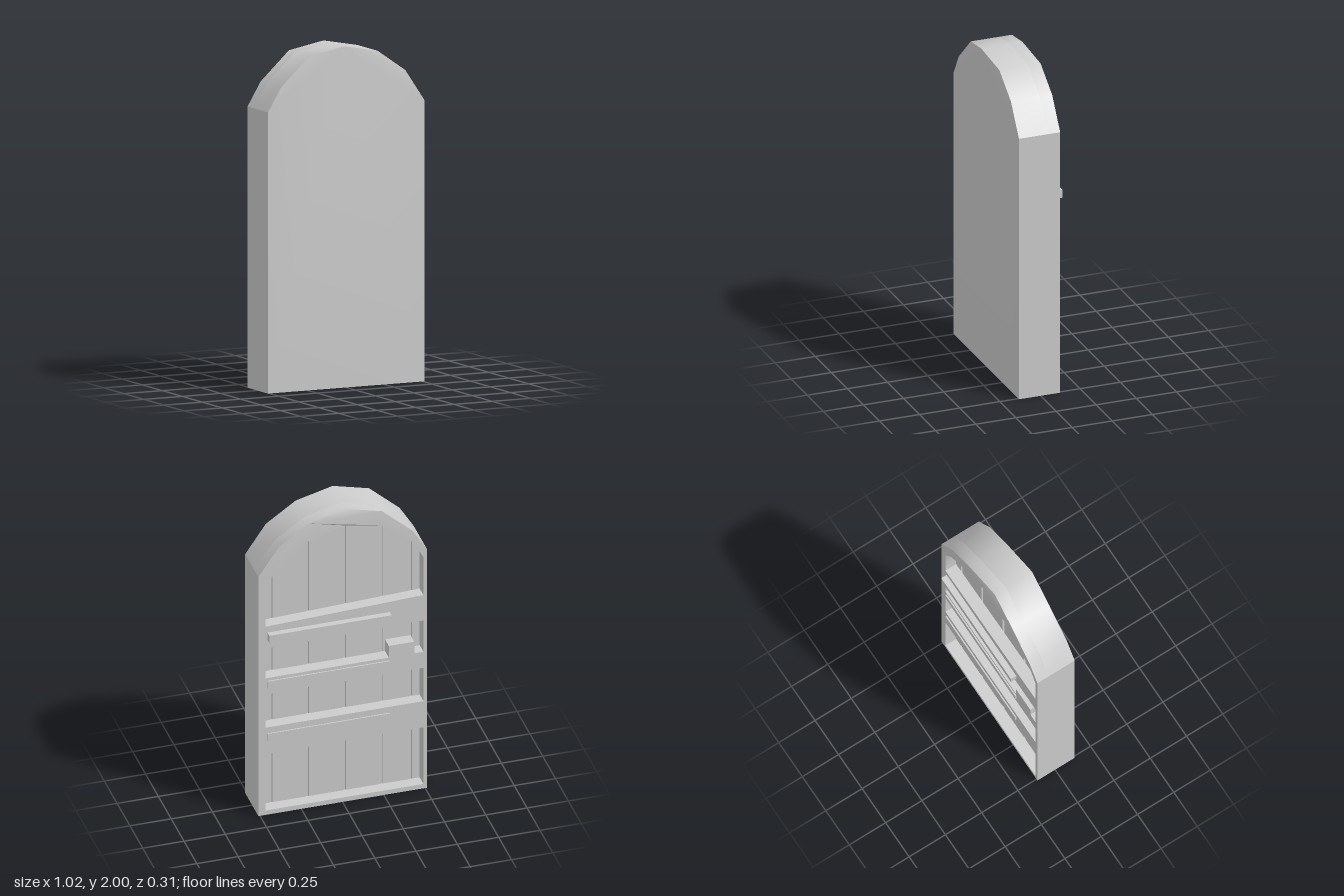
import * as THREE from 'three';
import { toCreasedNormals } from 'three/addons/utils/BufferGeometryUtils.js';

const BACK = -0.122, SEAM = -0.045, FRONT = 0.135, BULGE = 0.02, APEX_X = -0.025;

// Outer arched outline, counter-clockwise seen from the front
const OUTLINE = [
  [-0.51, 0], [0.51, 0], [0.51, 1.645], [0.385, 1.83], [0.205, 1.955],
  [APEX_X, 2], [-0.24, 1.955], [-0.425, 1.785], [-0.51, 1.645],
];
const APEX = 5;

// Openings between the rails; the second one steps around the latch block
const L = -0.49, R = 0.468;
const OPENINGS = [
  [[L, 1.33], [R, 1.295], [R, 1.555], [0.406, 1.67], [0.203, 1.835],
    [APEX_X, 1.886], [-0.23, 1.86], [-0.434, 1.7], [L, 1.59]],
  [[L, 0.94], [-0.434, 0.94], [-0.434, 1.02], [-0.28, 1.02], [-0.28, 0.94],
    [R, 0.94], [R, 1.143], [L, 1.155]],
  [[L, 0.6], [R, 0.6], [R, 0.83], [L, 0.83]],
  [[L, 0.03], [R, 0.03], [R, 0.42], [L, 0.42]],
];

const toPoints = (list) => list.map(([x, y]) => new THREE.Vector2(x, y));

// Height of the arch above a given x
function archTop(x) {
  const arch = OUTLINE.slice(2);
  for (let i = 0; i < arch.length - 1; i++) {
    const [x0, y0] = arch[i], [x1, y1] = arch[i + 1];
    if (x <= x0 && x >= x1) return y0 + (y1 - y0) * (x - x0) / (x1 - x0);
  }
  return 1.645;
}

// Solid door body: front fan from the peak plus the outer skirt
function bodyGeometry() {
  const pos = [];
  const at = (i, z) => {
    const k = i % OUTLINE.length;
    return [...OUTLINE[k], z + (k === APEX ? BULGE : 0)];
  };
  for (let i = 0; i < OUTLINE.length; i++) {
    const a = at(i, FRONT), b = at(i + 1, FRONT);
    const c = at(i, SEAM), d = at(i + 1, SEAM);
    pos.push(...a, ...c, ...d, ...a, ...d, ...b);
    if (i !== APEX && i + 1 !== APEX) pos.push(...at(APEX, FRONT), ...a, ...b);
  }
  const g = new THREE.BufferGeometry();
  g.setAttribute('position', new THREE.Float32BufferAttribute(pos, 3));
  return toCreasedNormals(g, 0.54);
}

// Rear frame with rails, its peak pushed forward like the body
function frameGeometry() {
  const shape = new THREE.Shape(toPoints(OUTLINE));
  shape.holes = OPENINGS.map((o) => new THREE.Path(toPoints(o)));
  const g = new THREE.ExtrudeGeometry(shape, { depth: SEAM - BACK, bevelEnabled: false });
  g.translate(0, 0, BACK);
  const p = g.attributes.position;
  for (let i = 0; i < p.count; i++) {
    if (Math.abs(p.getX(i) - APEX_X) < 0.001 && p.getY(i) > 1.85) p.setZ(i, p.getZ(i) + BULGE);
  }
  return toCreasedNormals(g, 0.54);
}

// Vertical board whose top follows the arch
function boardGeometry(x0, x1, z0, z1) {
  const inner = OUTLINE.slice(3, 8).map(([x]) => x).filter((x) => x > x0 && x < x1);
  const top = [x1, ...inner, x0].map((x) => [x, archTop(x) - 0.05]);
  const shape = new THREE.Shape(toPoints([[x0, 0.01], [x1, 0.01], ...top]));
  return new THREE.ExtrudeGeometry(shape, { depth: z1 - z0, bevelEnabled: false }).translate(0, 0, z0);
}

export function createModel() {
  const group = new THREE.Group();
  const grey = new THREE.MeshStandardMaterial({ color: 0xcccccc });
  grey.name = 'plain grey';
  const add = (name, geometry) => {
    const mesh = new THREE.Mesh(geometry, grey);
    mesh.name = name;
    group.add(mesh);
    return mesh;
  };

  add('doorBody', bodyGeometry());
  add('rearFrame', frameGeometry());

  // Planks with narrow grooves between them
  add('grooveFloor', boardGeometry(-0.5, 0.5, -0.03, -0.02));
  const joints = [-0.505, -0.435, -0.26, -0.035, 0.19, 0.41, 0.505];
  for (let i = 0; i < joints.length - 1; i++) {
    add('plank', boardGeometry(joints[i] + 0.009, joints[i + 1] - 0.009, -0.048, -0.02));
  }

  // Hinge straps on the rails; the upper one is thicker
  for (const [y, z] of [[1.228, -0.159], [0.895, -0.13], [0.535, -0.13]]) {
    const depth = BACK - z + 0.01;
    add('hingeStrap', new THREE.BoxGeometry(0.74, 0.05, depth)).position.set(0.085, y, z + depth / 2);
  }
  return group;
}
